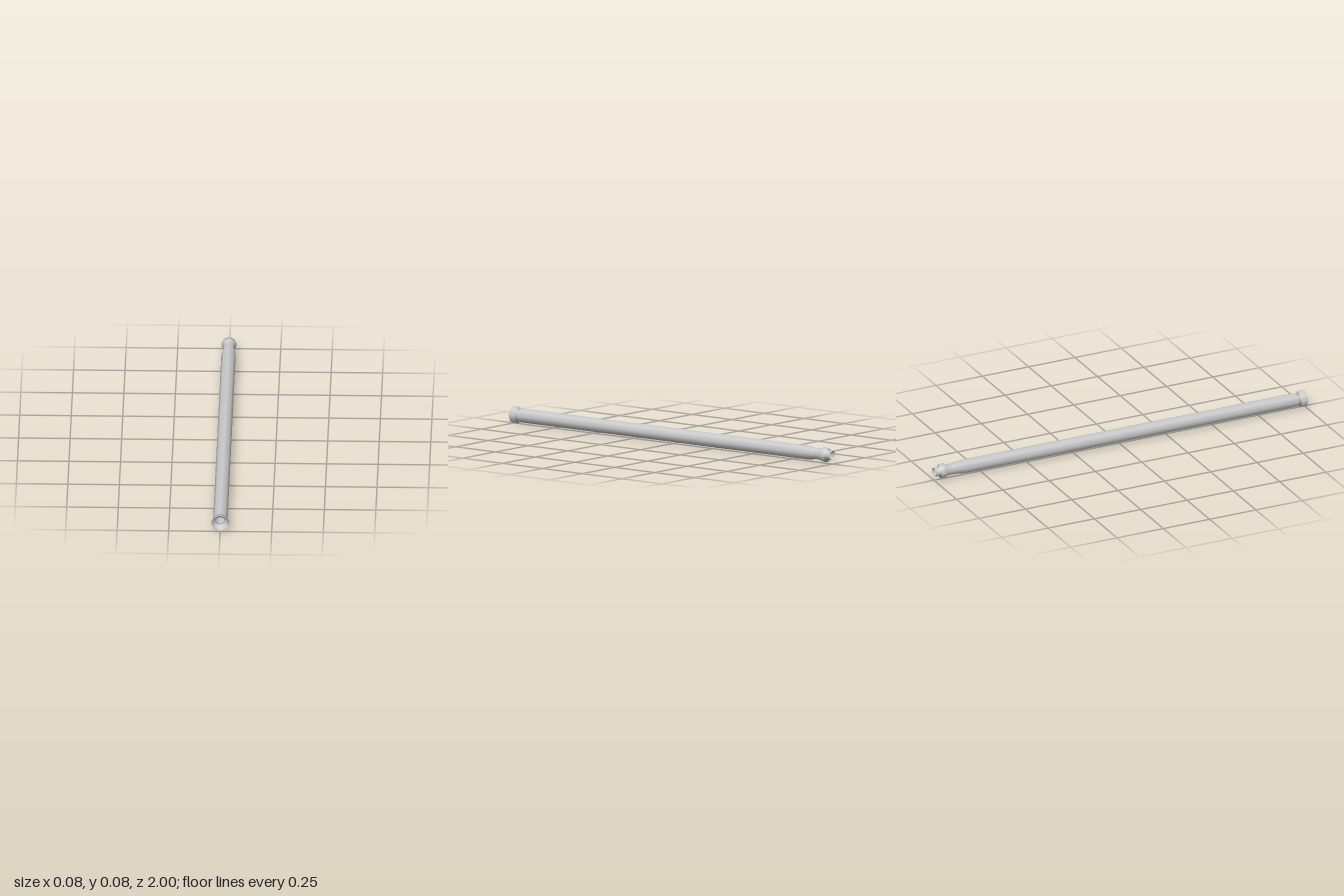
import * as THREE from 'three';

export function createModel() {
  const group = new THREE.Group();
  const material = new THREE.MeshStandardMaterial({ color: 0xcccccc, side: THREE.DoubleSide });
  const axisHeight = 0.042;

  // [radius, position along the axis], from rear tip to front rim
  const profile = [
    [0.023, -1], [0.023, -0.968], // rear tip
    [0.036, -0.968], [0.036, -0.946], // rear collar
    [0.029, -0.938], [0.028, -0.9], [0.035, -0.845], // waisted neck
    [0.035, 0.955], [0.023, 0.955], // long shaft and its shoulder
    [0.023, 0.975], [0.042, 0.975], [0.042, 1], // front neck and flange
  ].map(([r, z]) => new THREE.Vector2(r, z));

  // Hollow eight-sided tube, open at both ends, laid along z
  const geometry = new THREE.LatheGeometry(profile, 8);
  geometry.rotateX(Math.PI / 2);
  const tube = new THREE.Mesh(geometry, material);
  tube.name = 'hollowTube';
  tube.position.y = axisHeight;
  group.add(tube);

  return group;
}
